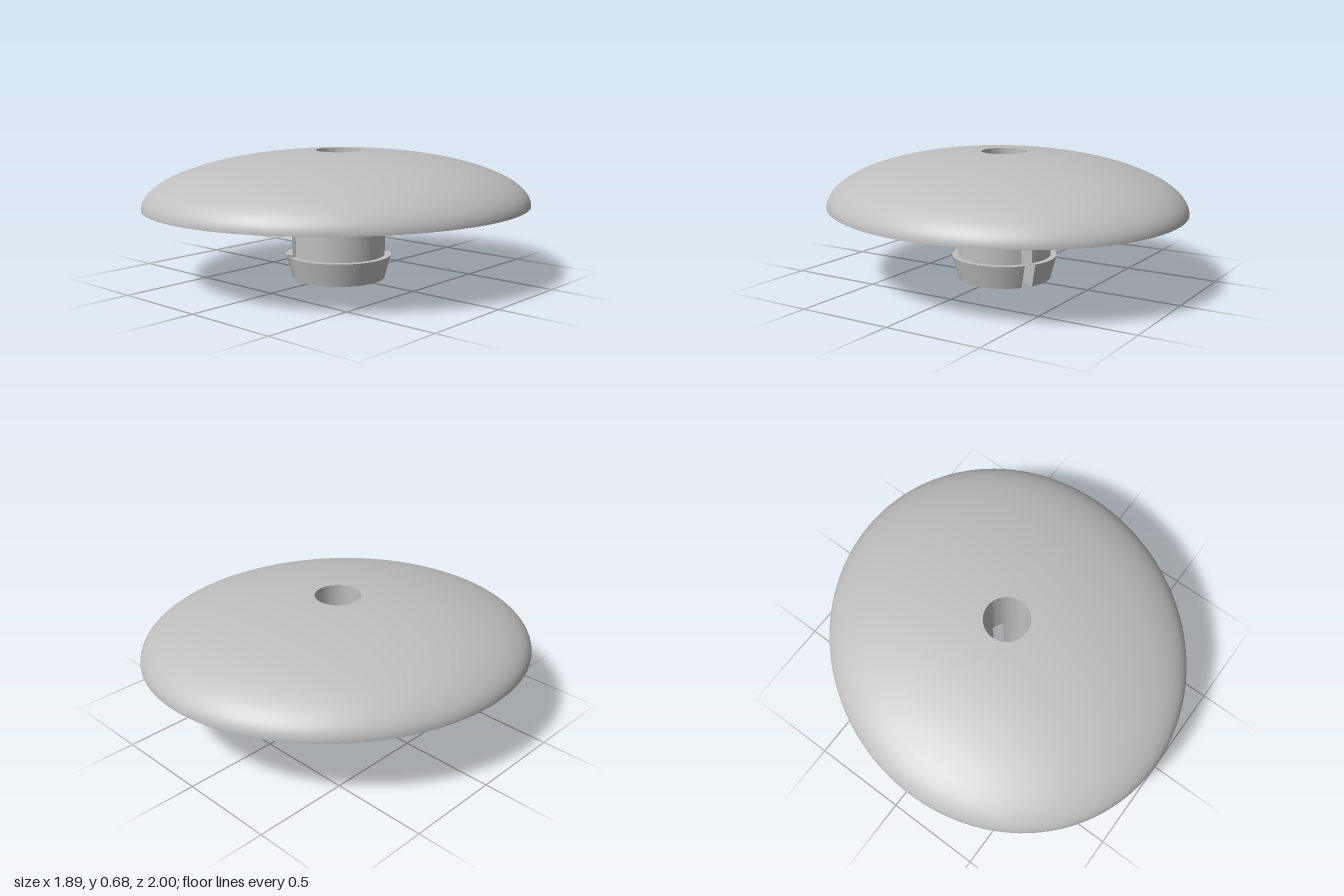
import * as THREE from 'three';
import { toCreasedNormals } from 'three/addons/utils/BufferGeometryUtils.js';
import { ParametricGeometry } from 'three/addons/geometries/ParametricGeometry.js';

const LONG = 1.026, SHORT = 0.916;        // half axes of the oval cap
const BASE = 0.395, RISE = 0.285;         // cap underside height and dome rise
const BORE = 0.12, SHAFT = 0.247, BARB = 0.28;
const SLOT_TOP = 0.312, SLOT_HALF = 0.031;

// Half-ellipsoid shell that ends on the round bore
function domeGeometry() {
  return new ParametricGeometry((u, v, p) => {
    const a = u * Math.PI * 2;
    const edge = 1 / Math.hypot(Math.cos(a) / LONG, Math.sin(a) / SHORT);
    const t = v * Math.acos(BORE / edge);
    const r = edge * Math.cos(t);
    p.set(r * Math.cos(a), BASE + RISE * Math.sin(t), -r * Math.sin(a));
  }, 128, 40);
}

// Flat oval with a round opening for the shaft
function undersideGeometry() {
  const shape = new THREE.Shape();
  shape.absellipse(0, 0, LONG, SHORT, 0, Math.PI * 2);
  const hole = new THREE.Path();
  hole.absarc(0, 0, SHAFT, 0, Math.PI * 2, true);
  shape.holes.push(hole);
  return new THREE.ShapeGeometry(shape, 64).rotateX(Math.PI / 2).translate(0, BASE, 0);
}

// Half ring with a flared barb, its ends cut parallel to the slot
function prongGeometry() {
  const profile = [[BORE, 0], [SHAFT, 0], [BARB, 0.125], [SHAFT, 0.125], [SHAFT, SLOT_TOP], [BORE, SLOT_TOP]];
  const steps = 40, n = profile.length, positions = [];
  const point = (i, k) => {
    const [r, y] = profile[k % n];
    const start = Math.asin(SLOT_HALF / r);
    const a = start + (Math.PI - 2 * start) * i / steps;
    return [r * Math.cos(a), y, -r * Math.sin(a)];
  };
  const triangle = (a, b, c) => positions.push(...a, ...b, ...c);
  for (let i = 0; i < steps; i++) {
    for (let k = 0; k < n; k++) {
      triangle(point(i, k), point(i + 1, k), point(i + 1, k + 1));
      triangle(point(i, k), point(i + 1, k + 1), point(i, k + 1));
    }
  }
  // Slot walls at both ends
  for (const [a, b, c] of [[0, 1, 3], [1, 2, 3], [0, 3, 4], [0, 4, 5]]) {
    triangle(point(0, a), point(0, b), point(0, c));
    triangle(point(steps, c), point(steps, b), point(steps, a));
  }
  const geometry = new THREE.BufferGeometry();
  geometry.setAttribute('position', new THREE.Float32BufferAttribute(positions, 3));
  return toCreasedNormals(geometry, 0.2);
}

export function createModel() {
  const model = new THREE.Group();
  model.name = 'pushInCap';
  const grey = new THREE.MeshStandardMaterial({ color: 0xbfbfbf });
  grey.name = 'grey';

  // Cap and stem share one turned axis
  const turned = new THREE.Group();
  turned.name = 'capAndStem';
  turned.rotation.y = Math.PI / 3;
  model.add(turned);

  const add = (name, geometry) => {
    const mesh = new THREE.Mesh(geometry, grey);
    mesh.name = name;
    turned.add(mesh);
    return mesh;
  };

  add('capDome', domeGeometry());
  add('capUnderside', undersideGeometry());

  // Bore wall, slot ceiling and unslotted top of the shaft
  const collar = [[BORE, 0.678], [BORE, SLOT_TOP], [SHAFT, SLOT_TOP], [SHAFT, BASE]]
    .map(([r, y]) => new THREE.Vector2(r, y));
  add('shaftCollar', toCreasedNormals(new THREE.LatheGeometry(collar, 80), 0.2));

  // Two snap prongs either side of the slot
  const prong = prongGeometry();
  add('prongA', prong);
  add('prongB', prong).rotation.y = Math.PI;

  return model;
}
